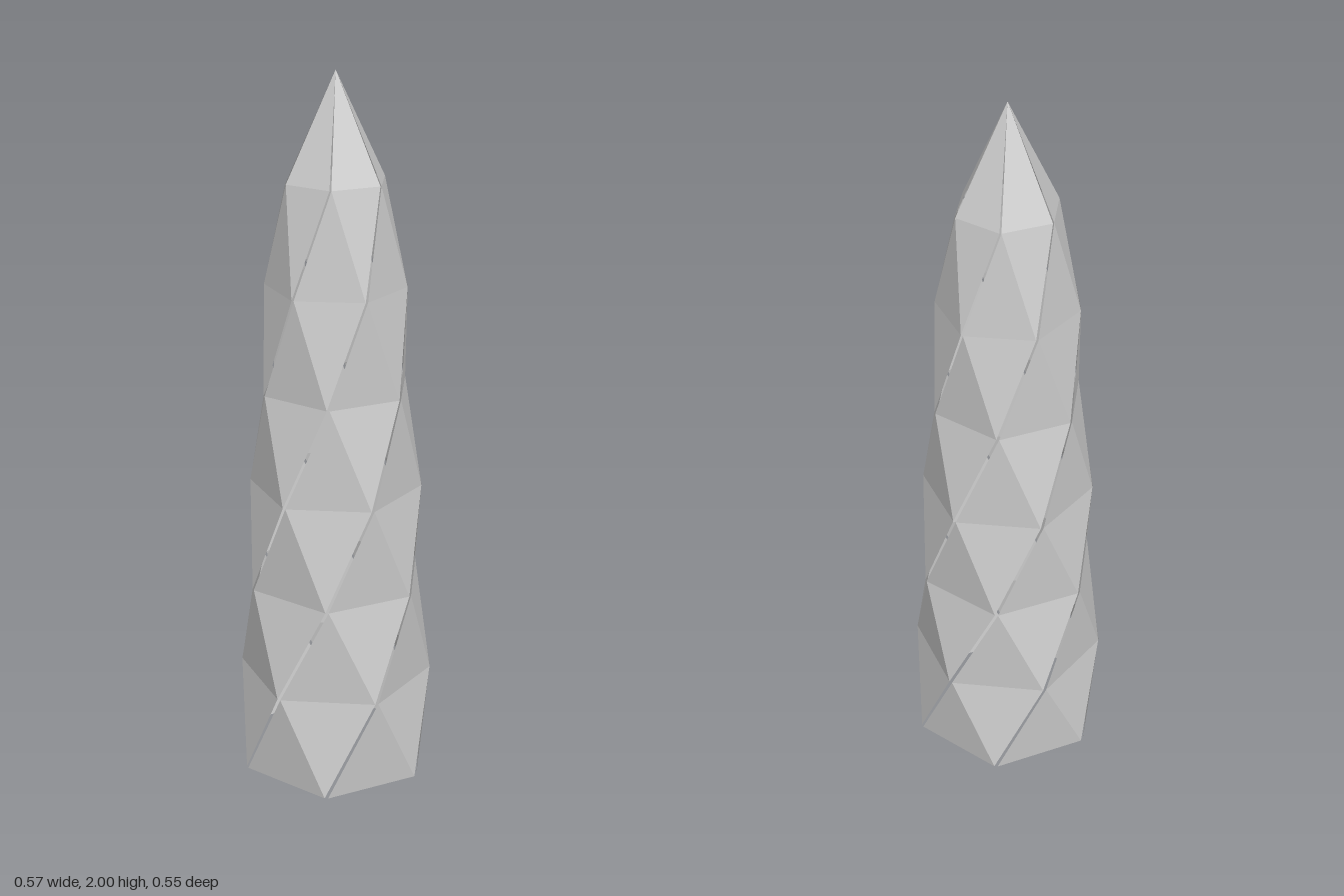
import * as THREE from 'three';

const SIDES = 6;
const HEIGHT = 2;
const RADII = [0.287, 0.279, 0.258, 0.244, 0.215, 0.196, 0.145, 0]; // floor corners up to the tip
const SEAM = 0.02; // share of each floor edge left open at either end

// Corner of a floor; every floor is turned half a side from the one below
function corner(level, k) {
  const a = ((k + (level + 1) / 2) * 2 * Math.PI) / SIDES;
  const r = RADII[level];
  return new THREE.Vector3(r * Math.sin(a), (level * HEIGHT) / (RADII.length - 1), r * Math.cos(a));
}

// One folded ribbon winding from the base to the tip
function ribbonGeometry(k) {
  const positions = [];
  const edge = (level) => {
    const l = corner(level, k), r = corner(level, k + 1);
    return [l.clone().lerp(r, SEAM), r.clone().lerp(l, SEAM)];
  };
  const triangle = (...points) => points.forEach((p) => positions.push(p.x, p.y, p.z));
  for (let i = 0; i < RADII.length - 1; i++) {
    const [l0, r0] = edge(i), [l1, r1] = edge(i + 1);
    triangle(l0, r0, l1);
    if (RADII[i + 1] > 0) triangle(r0, r1, l1);
  }
  const geometry = new THREE.BufferGeometry();
  geometry.setAttribute('position', new THREE.Float32BufferAttribute(positions, 3));
  geometry.computeVertexNormals();
  return geometry;
}

export function createModel() {
  const tower = new THREE.Group();
  tower.name = 'twistedTower';
  const material = new THREE.MeshStandardMaterial({
    color: 0xcccccc, flatShading: true, side: THREE.DoubleSide,
  });
  // Six ribbons form the open shell, with narrow spiral seams between them
  for (let k = 0; k < SIDES; k++) {
    const ribbon = new THREE.Mesh(ribbonGeometry(k), material);
    ribbon.name = `spiralRibbon${k + 1}`;
    tower.add(ribbon);
  }
  return tower;
}
